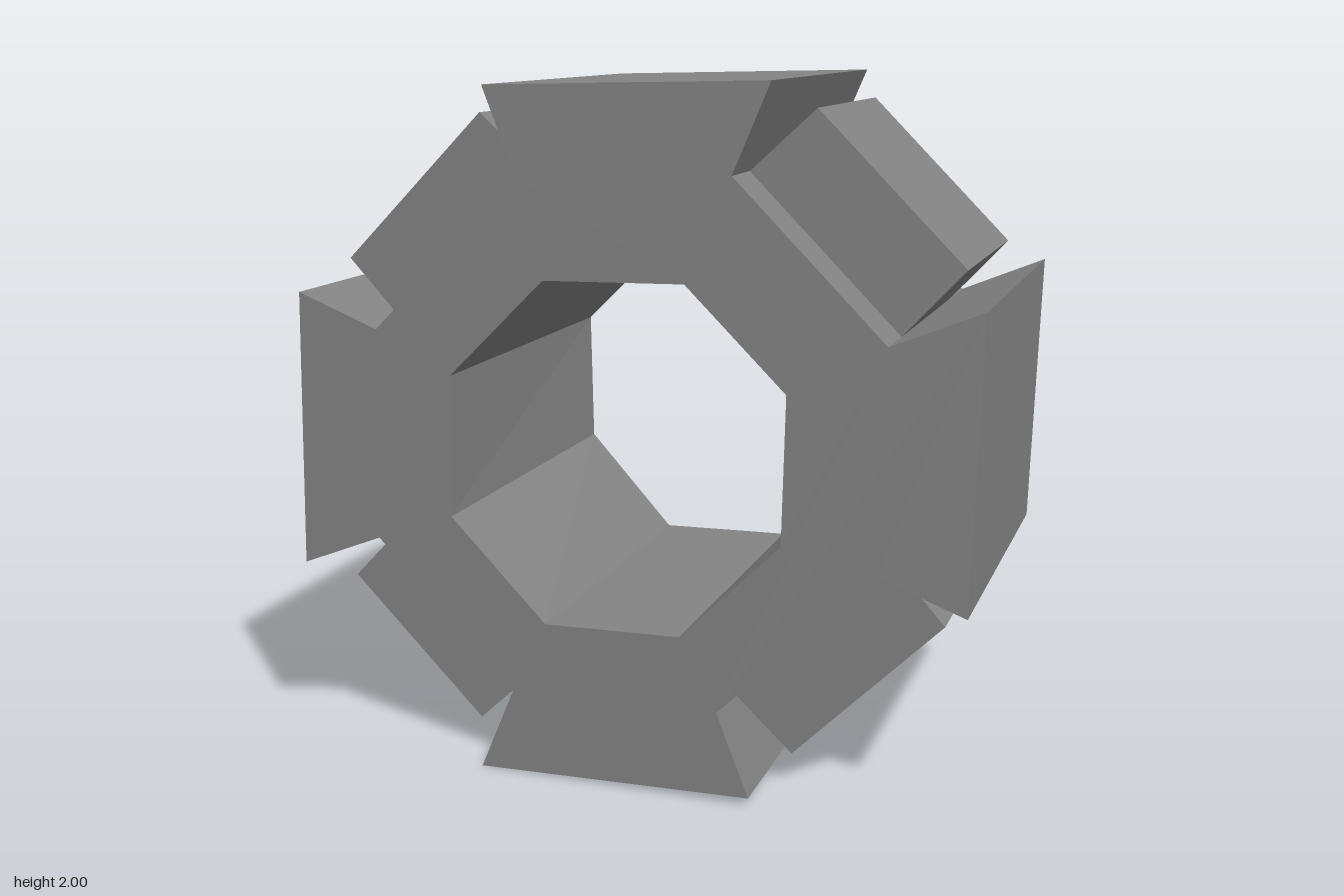
import * as THREE from 'three';

const material = new THREE.MeshStandardMaterial({ color: 0x848484, flatShading: true });
const toPoints = (pairs) => pairs.map(([x, y]) => new THREE.Vector2(x, y));

// Prism with the given front outline, running from z0 to z1
function prism(name, outline, z0, z1, hole) {
  const shape = new THREE.Shape(toPoints(outline));
  if (hole) shape.holes.push(new THREE.Path(toPoints(hole)));
  const geometry = new THREE.ExtrudeGeometry(shape, { depth: z1 - z0, bevelEnabled: false });
  geometry.translate(0, 0, z0);
  const mesh = new THREE.Mesh(geometry, material);
  mesh.name = name;
  return mesh;
}

export function createModel() {
  const group = new THREE.Group();
  group.name = 'notchedRing';

  // Ring body: four flared lobes separated by diagonal notches (clockwise)
  const outline = [
    [-0.385, 1.98], [0.43, 2.0], [0.325, 1.755], [0.75, 1.33],
    [1.0, 1.435], [0.98, 0.62], [0.735, 0.71], [0.29, 0.265],
    [0.385, 0.023], [-0.435, 0.0], [-0.33, 0.25], [-0.75, 0.67],
    [-1.0, 0.57], [-0.98, 1.385], [-0.735, 1.29], [-0.29, 1.735],
  ];
  // Octagonal bore (counter-clockwise, so its walls face inwards)
  const bore = [
    [-0.505, 1.17], [-0.513, 0.757], [-0.225, 0.465], [0.18, 0.475],
    [0.47, 0.765], [0.48, 1.185], [0.195, 1.465], [-0.215, 1.455],
  ];
  const ring = prism('ringBody', outline, -0.525, 0.525, bore);

  // Two opposite side corners of the bore lean inwards towards the back
  const pos = ring.geometry.attributes.position;
  for (let i = 0; i < pos.count; i++) {
    const x = pos.getX(i);
    const y = pos.getY(i) - 1;
    const leaning = Math.hypot(x, y) < 0.6 && Math.abs(x) > 0.4 && x * y > 0;
    if (leaning && pos.getZ(i) < 0) pos.setXY(i, x * 0.97, 1 + y * 0.97);
  }
  ring.geometry.computeVertexNormals();
  group.add(ring);

  // One raised block on the floor of each notch
  const blocks = {
    upperLeftBlock: [[0.325, 1.755], [0.51, 1.925], [0.92, 1.515], [0.75, 1.33]],
    lowerLeftBlock: [[0.735, 0.71], [0.893, 0.535], [0.465, 0.103], [0.29, 0.265]],
    lowerRightBlock: [[-0.33, 0.25], [-0.512, 0.08], [-0.922, 0.49], [-0.75, 0.67]],
    upperRightBlock: [[-0.735, 1.29], [-0.9, 1.467], [-0.47, 1.897], [-0.29, 1.735]],
  };
  for (const [name, corners] of Object.entries(blocks)) {
    group.add(prism(name, corners, -0.3, 0.365));
  }
  return group;
}
